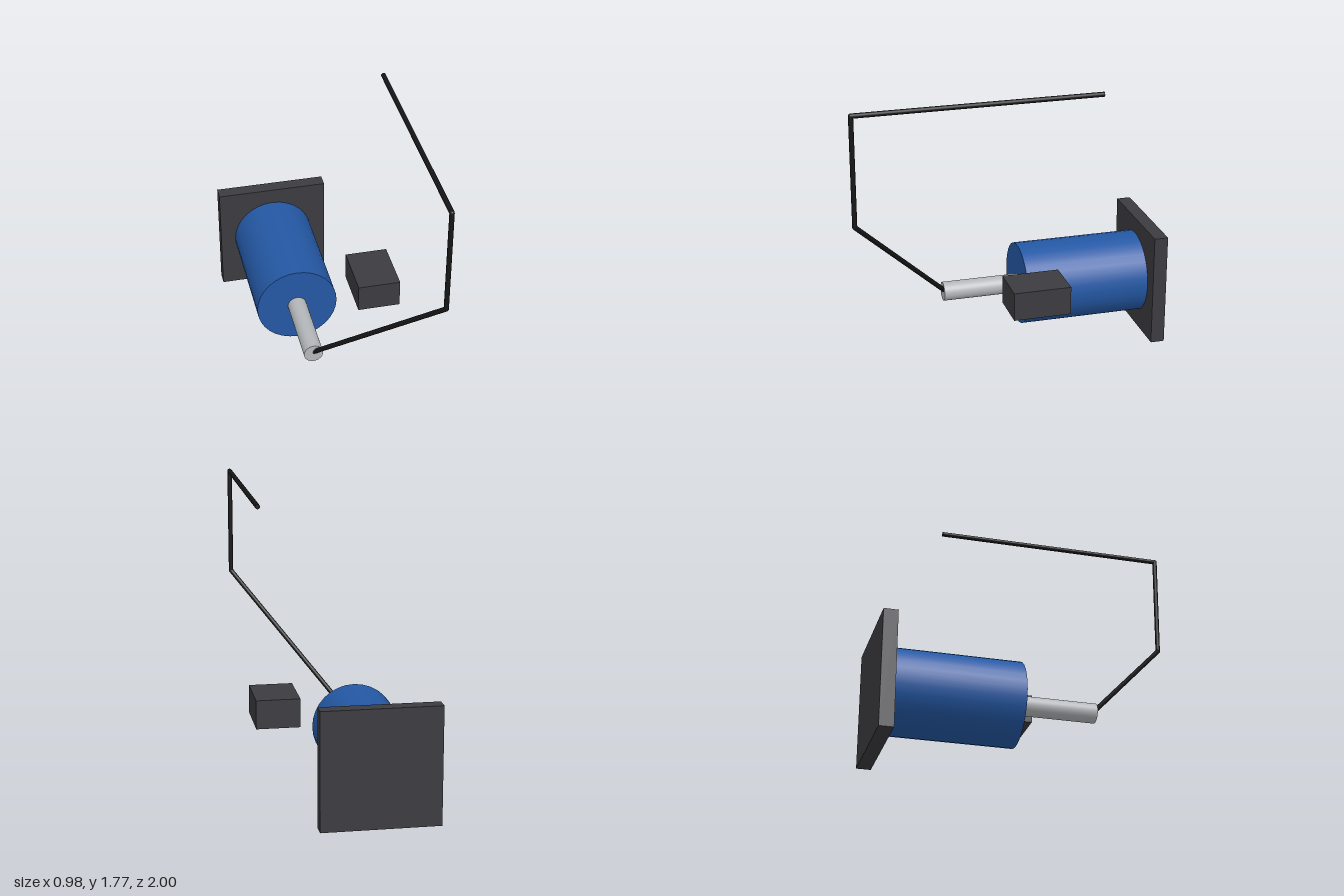
import * as THREE from 'three';

const material = (color) => new THREE.MeshStandardMaterial({ color });

export function createModel() {
  const model = new THREE.Group();
  const dark = material(0x3b3b40);
  const blue = material(0x2458a4);
  const steel = material(0xb4b7ba);
  const black = material(0x151515);
  const axisX = -0.14, axisY = 0.353;

  const add = (name, geometry, mat, parent = model) => {
    const mesh = new THREE.Mesh(geometry, mat);
    mesh.name = name;
    parent.add(mesh);
    return mesh;
  };

  const box = (name, [x0, x1], [y0, y1], [z0, z1]) =>
    add(name, new THREE.BoxGeometry(x1 - x0, y1 - y0, z1 - z0), dark)
      .position.set((x0 + x1) / 2, (y0 + y1) / 2, (z0 + z1) / 2);

  // Cylinder on the motor axis, running along z
  const barrel = (name, radius, z0, z1, mat) => {
    const geometry = new THREE.CylinderGeometry(radius, radius, z1 - z0, 32).rotateX(Math.PI / 2);
    add(name, geometry, mat).position.set(axisX, axisY, (z0 + z1) / 2);
  };

  // Motor: mounting plate, body and shaft
  box('mountingPlate', [-0.49, 0.21], [0, 0.706], [-1, -0.914]);
  barrel('motorBody', 0.255, -0.914, -0.137, blue);
  barrel('shaft', 0.059, -0.137, 0.344, steel);

  // Separate side block
  box('sideBlock', [0.21, 0.475], [0.402, 0.577], [-0.294, 0.056]);

  // Bent rod: straight segments with rounded joints at the bends
  const rod = new THREE.Group();
  rod.name = 'bentRod';
  model.add(rod);
  const rodRadius = 0.0145;
  const points = [
    [axisX, axisY, 0.327],
    [0.475, 1.103, 0.985],
    [0.475, 1.759, 0.985],
    [0.475, 1.759, -0.47],
  ].map((p) => new THREE.Vector3(...p));

  for (let i = 0; i < points.length - 1; i++) {
    const direction = points[i + 1].clone().sub(points[i]);
    const length = direction.length();
    const segment = add('rodSegment', new THREE.CylinderGeometry(rodRadius, rodRadius, length, 16), black, rod);
    segment.position.copy(points[i]).lerp(points[i + 1], 0.5);
    segment.quaternion.setFromUnitVectors(new THREE.Vector3(0, 1, 0), direction.normalize());
    if (i > 0) add('rodJoint', new THREE.SphereGeometry(rodRadius, 16, 12), black, rod).position.copy(points[i]);
  }

  return model;
}
